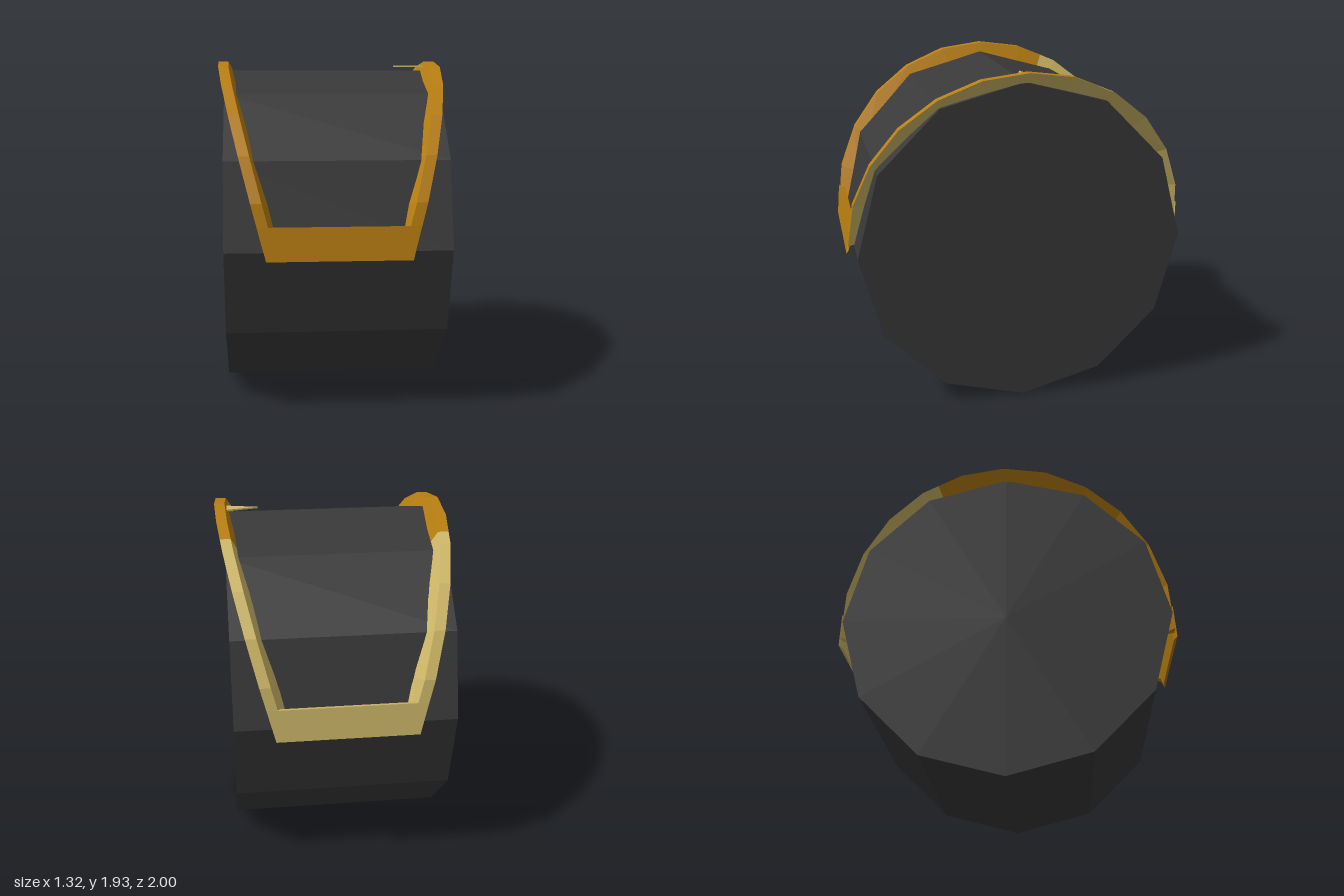
import * as THREE from 'three';

const material = (name, color) => {
  const m = new THREE.MeshStandardMaterial({ color, flatShading: true, side: THREE.DoubleSide });
  m.name = name;
  return m;
};

// Radius, x offset from the outer edge: outer rim, inner rim, buried root
const SECTION = [[0.99, 0], [0.99, -0.06], [0.9, -0.1], [0.9, -0.075]];
const CENTRE_Y = 0.945;
const SPLIT = 7.6; // station where the front colour ends and the rear colour starts

// Cross-section of the arch at a (possibly fractional) station 0..12, front to back
function station(s, side) {
  const at = (k) => {
    const t = (k * Math.PI) / 12;
    const outerX = 0.4 + 0.26 * Math.sin(t);
    return SECTION.map(([r, dx]) => new THREE.Vector3(
      side * (outerX + dx), CENTRE_Y + r * Math.sin(t), r * Math.cos(t)));
  };
  const k = Math.floor(s);
  if (k === s) return at(k);
  const next = at(k + 1);
  return at(k).map((p, i) => p.lerp(next[i], s - k));
}

// Triangles from quads given as [a, b, c, d]
function quadMesh(name, quads, mat) {
  const pos = [];
  for (const [a, b, c, d] of quads) {
    for (const p of [a, b, c, a, c, d]) pos.push(p.x, p.y, p.z);
  }
  const g = new THREE.BufferGeometry();
  g.setAttribute('position', new THREE.Float32BufferAttribute(pos, 3));
  g.computeVertexNormals();
  const mesh = new THREE.Mesh(g, mat);
  mesh.name = name;
  return mesh;
}

// Strip of one or more section faces along a run of stations
function archPart(name, stations, edges, side, mat) {
  const rings = stations.map((s) => station(s, side));
  const quads = [];
  for (let i = 0; i + 1 < rings.length; i++) {
    for (const [a, b] of edges) {
      const q = [rings[i][a], rings[i + 1][a], rings[i + 1][b], rings[i][b]];
      quads.push(side > 0 ? q : q.reverse());
    }
  }
  return quadMesh(name, quads, mat);
}

export function createModel() {
  const model = new THREE.Group();
  const charcoal = material('charcoal', 0x393939);
  const amber = material('amber', 0xb97f11);
  const paleGold = material('paleGold', 0xcfb868);

  // Twelve-sided drum lying on its side
  const drumGeo = new THREE.CylinderGeometry(0.94, 0.94, 1.22, 12);
  drumGeo.rotateZ(Math.PI / 2);
  const drum = new THREE.Mesh(drumGeo, charcoal);
  drum.name = 'drum';
  drum.position.set(0, 0.94, 0.013);
  model.add(drum);

  // Leaning arches on both sides
  const front = [0, 1, 2, 3, 4, 5, 6, 7, SPLIT];
  const rear = [SPLIT, 8, 9, 10, 11, 12];
  const rim = [[0, 1], [1, 2]];
  const wall = [[3, 0]];
  for (const side of [1, -1]) {
    const arch = new THREE.Group();
    arch.name = side > 0 ? 'leftArch' : 'rightArch';
    arch.add(
      archPart('frontRim', front, rim, side, amber),
      archPart('rearRim', rear, rim, side, paleGold),
      archPart('frontOuterWall', front, wall, side, side > 0 ? paleGold : amber),
      archPart('rearOuterWall', rear, wall, side, paleGold));
    // Lower end caps
    arch.add(
      quadMesh('frontEnd', [station(0, side)], amber),
      quadMesh('rearEnd', [station(12, side)], paleGold));
    model.add(arch);
  }

  // Thin cross bars joining the arch ends, with a small top ledge
  for (const dir of [1, -1]) {
    const bar = (pts) => {
      const q = [
        ...pts.map(([x, y, z]) => new THREE.Vector3(-x, y, z * dir)),
        ...pts.map(([x, y, z]) => new THREE.Vector3(x, y, z * dir)).reverse(),
      ];
      return dir > 0 ? q.reverse() : q;
    };
    model.add(quadMesh(dir > 0 ? 'frontBar' : 'rearBar', [
      bar([[0.388, 0.9, 1.0], [0.432, 1.08, 0.981]]),
      bar([[0.38, 1.08, 0.981], [0.37, 1.07, 0.945]]),
      bar([[0.37, 1.07, 0.945], [0.34, 0.9, 0.985]]),
      bar([[0.34, 0.9, 0.985], [0.388, 0.9, 1.0]]),
    ], dir > 0 ? amber : paleGold));
  }

  // Flat pointer on top of the left arch
  const tip = new THREE.Shape();
  tip.moveTo(0.41, 0);
  tip.lineTo(0.6, -0.05);
  tip.lineTo(0.6, 0.05);
  const pointerGeo = new THREE.ExtrudeGeometry(tip, { depth: 0.009, bevelEnabled: false });
  pointerGeo.rotateX(-Math.PI / 2);
  const pointer = new THREE.Mesh(pointerGeo, paleGold);
  pointer.name = 'pointer';
  pointer.position.y = 1.9;
  model.add(pointer);

  return model;
}
